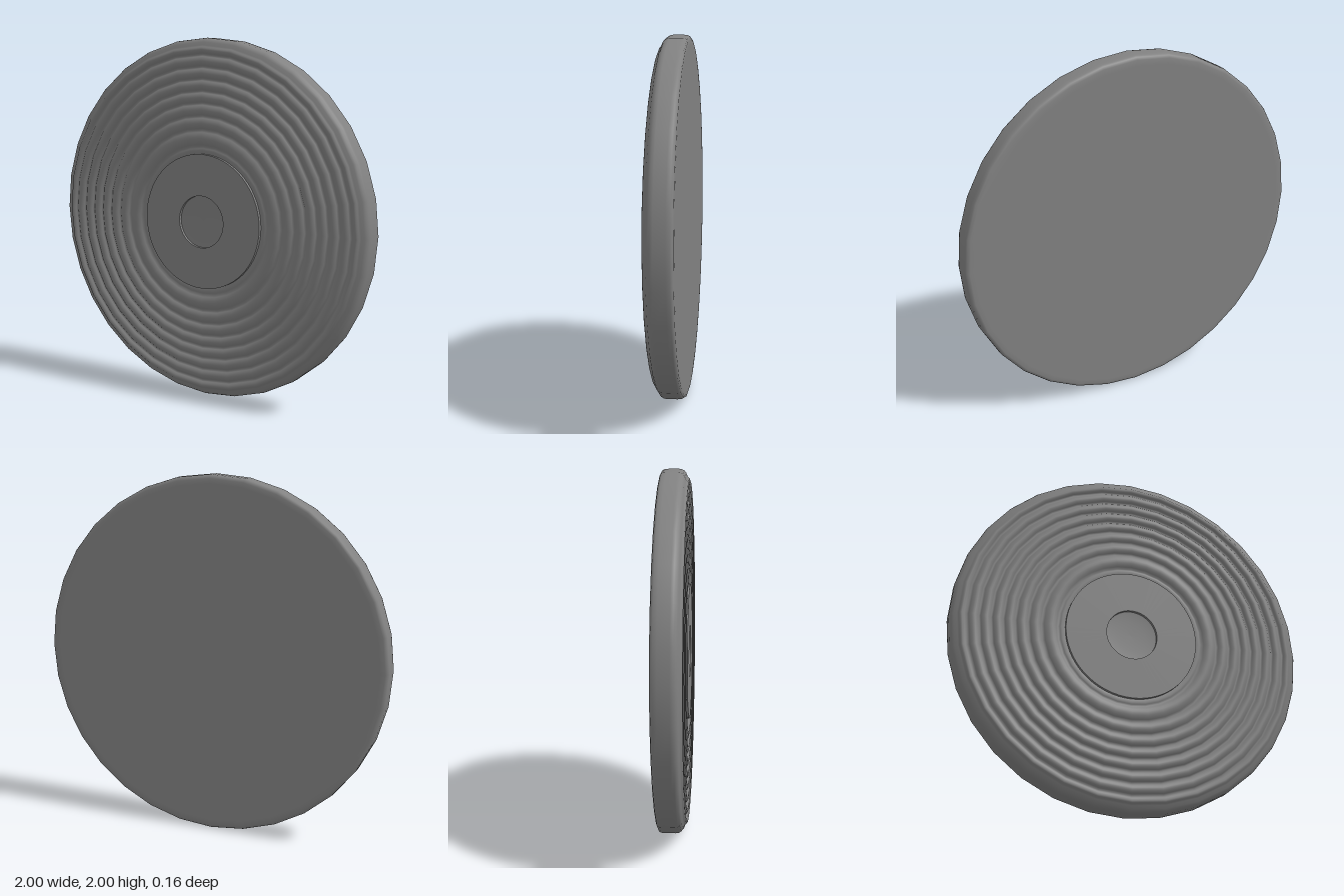
import * as THREE from 'three';

const material = new THREE.MeshStandardMaterial({ color: 0x828282 });

// Revolves [radius, z] points, listed from back to front, about the z axis
function revolve(name, points, segments) {
  const profile = points.map(([r, z]) => new THREE.Vector2(r, z));
  const geometry = new THREE.LatheGeometry(profile, segments);
  geometry.rotateX(Math.PI / 2);
  const mesh = new THREE.Mesh(geometry, material);
  mesh.name = name;
  return mesh;
}

export function createModel() {
  const model = new THREE.Group();
  model.name = 'ridgedDisc';
  const disc = new THREE.Group();
  disc.name = 'disc';
  disc.position.y = 1;
  model.add(disc);

  // Body: flat back, tight back corner, rounded front shoulder, small step up to the ridges
  const body = [
    [0, -0.077], [0.95, -0.077], [0.978, -0.076], [0.992, -0.071], [0.998, -0.06],
    [1, -0.04], [1, 0.02], [0.997, 0.035], [0.99, 0.048], [0.978, 0.057], [0.962, 0.063],
    [0.954, 0.068], [0.948, 0.075], [0.938, 0.078], [0.926, 0.074], [0.918, 0.067], [0.91, 0.06],
  ];
  // Concentric rounded ridges, working inward between the grooves
  const grooves = [0.91, 0.845, 0.78, 0.715, 0.65, 0.58, 0.505, 0.415];
  const steps = 8;
  for (let i = 0; i < grooves.length - 1; i++) {
    for (let s = 1; s <= steps; s++) {
      const t = s / steps;
      const r = THREE.MathUtils.lerp(grooves[i], grooves[i + 1], t);
      body.push([r, 0.06 + 0.018 * Math.pow(Math.sin(Math.PI * t), 0.8)]);
    }
  }
  // Low inner lip around the centre plate, then the floor beneath it
  body.push([0.405, 0.064], [0.395, 0.066], [0.38, 0.064], [0.36, 0.058], [0, 0.05]);
  disc.add(revolve('ridgedBody', body, 32));

  // Smooth centre plate, with an opening for the hub
  disc.add(revolve('centrePlateRim', [[0.375, 0.055], [0.375, 0.08]], 64));
  disc.add(revolve('centrePlateFace', [[0.375, 0.08], [0.145, 0.08]], 64));
  disc.add(revolve('hubWall', [[0.145, 0.08], [0.145, 0.062]], 64));

  // Shallow dished hub
  disc.add(revolve('hub', [[0.145, 0.064], [0.12, 0.0615], [0.08, 0.0595], [0.04, 0.0585], [0, 0.058]], 64));

  return model;
}
